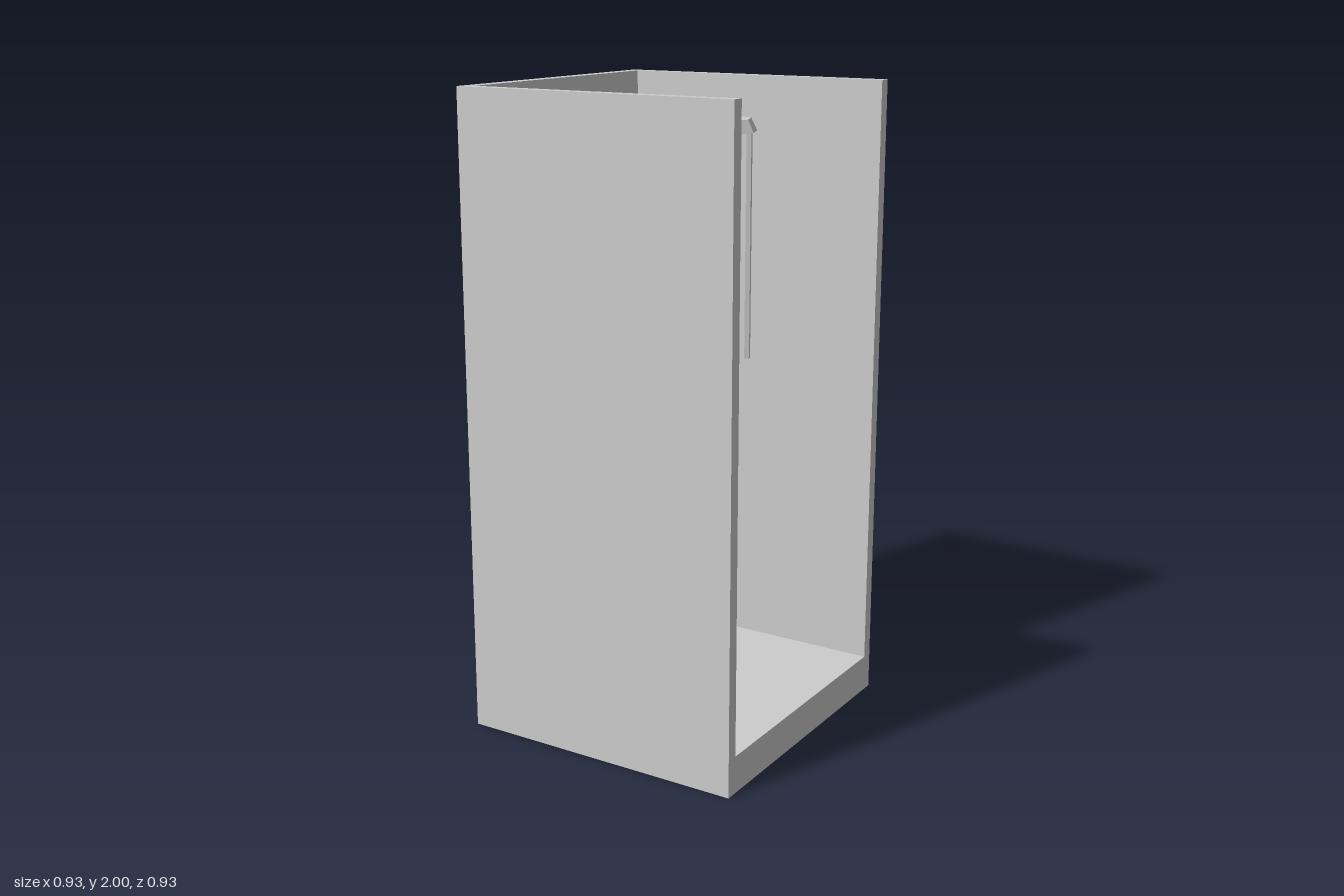
import * as THREE from 'three';

const OUT = 0.463, IN = 0.425, HEIGHT = 2, FLOOR = 0.117;

export function createModel() {
  const group = new THREE.Group();
  const grey = new THREE.MeshStandardMaterial({ color: 0xcccccc, flatShading: true });
  grey.name = 'light grey';

  const add = (name, geometry, x = 0, y = 0, z = 0) => {
    const mesh = new THREE.Mesh(geometry, grey);
    mesh.name = name;
    mesh.position.set(x, y, z);
    group.add(mesh);
  };

  // Three walls as one U-shaped plan, open on the +x side
  const plan = new THREE.Shape([
    [OUT, -OUT], [OUT, -IN], [-IN, -IN], [-IN, IN],
    [OUT, IN], [OUT, OUT], [-OUT, OUT], [-OUT, -OUT],
  ].map(([x, y]) => new THREE.Vector2(x, y)));
  const walls = new THREE.ExtrudeGeometry(plan, { depth: HEIGHT, bevelEnabled: false });
  walls.rotateX(-Math.PI / 2);
  add('walls', walls);

  // Raised floor between the walls
  add('floor', new THREE.BoxGeometry(OUT + IN, FLOOR, 2 * IN), (OUT - IN) / 2, FLOOR / 2, 0);

  // Octagonal shower head, wider at the bottom
  add('showerHead', new THREE.CylinderGeometry(0.097, 0.117, 0.04, 8), 0, 1.857, -0.25);

  // Hexagonal rail half sunk into the back wall
  add('rail', new THREE.CylinderGeometry(0.016, 0.016, 0.775, 6), 0, 1.467, -0.426);

  return group;
}
